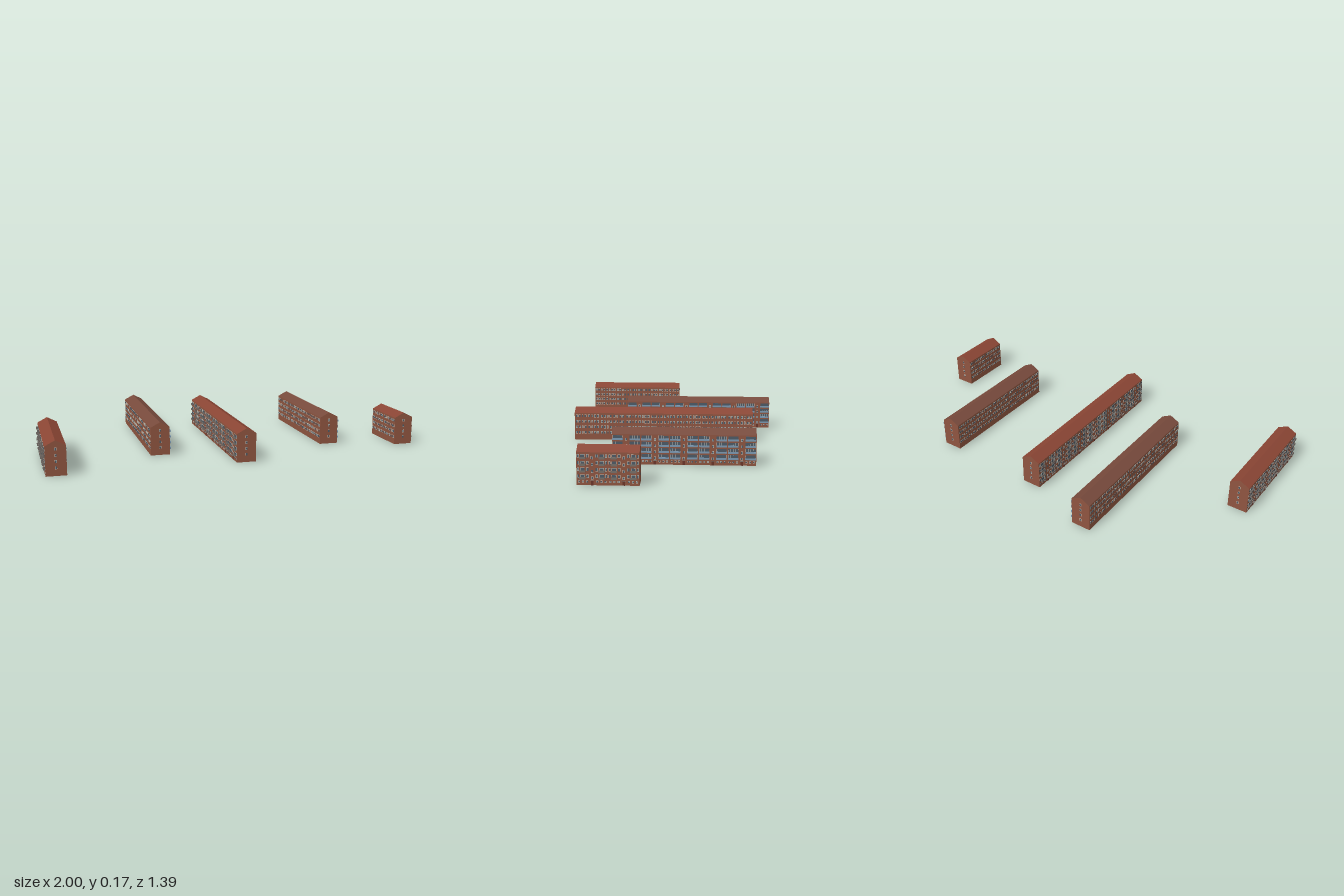
import * as THREE from 'three';
import { mergeGeometries } from 'three/addons/utils/BufferGeometryUtils.js';

const BAY = 0.137;          // length of one stairwell section
const HALF = 0.05;          // half width of a block
const EAVE = 0.146, RIDGE = 0.172;
const TILT = 0.316;         // all blocks lie parallel, turned from the z axis
const FLOORS = [0.04, 0.07, 0.1, 0.13]; // window centre heights

const material = (color, side = THREE.FrontSide) =>
  new THREE.MeshStandardMaterial({ color, side, flatShading: true });
const MAT = {
  brick: material(0x8f5540, THREE.DoubleSide),
  redRoof: material(0x8a4534, THREE.DoubleSide),
  brownRoof: material(0x774a3c, THREE.DoubleSide),
  frame: material(0xc9c4b8),
  glass: material(0x4c5a66),
  blue: material(0x7d9bb5),
  concrete: material(0x77706a),
  door: material(0x6b3428),
};

function box(sx, sy, sz, x, y, z) {
  return new THREE.BoxGeometry(sx, sy, sz).translate(x, y, z);
}

// Rectangle standing along the block: from (x0,y0) to (x1,y1), length long
function strip(x0, y0, x1, y1, length) {
  const w = Math.hypot(x1 - x0, y1 - y0);
  return new THREE.PlaneGeometry(length, w)
    .rotateY(Math.PI / 2)
    .rotateZ(Math.atan2(-(x1 - x0), y1 - y0))
    .translate((x0 + x1) / 2, (y0 + y1) / 2, 0);
}

function gable(z, faceBack) {
  const s = new THREE.Shape();
  s.moveTo(-HALF, 0);
  s.lineTo(HALF, 0);
  s.lineTo(HALF, EAVE);
  s.lineTo(0, RIDGE);
  s.lineTo(-HALF, EAVE);
  const g = new THREE.ShapeGeometry(s);
  if (faceBack) g.rotateY(Math.PI);
  return g.translate(0, 0, z);
}

// Window on a long wall; side is +1 or -1
function sideWindow(parts, side, y, z, w, h) {
  parts.frame.push(box(0.0016, h, w, side * HALF, y, z));
  parts.glass.push(box(0.0024, h - 0.003, w - 0.003, side * HALF, y, z));
}

function balcony(parts, y, z, length, depth, panel) {
  const x = HALF + depth / 2, floor = y - 0.0115;
  parts.concrete.push(box(depth, 0.002, length, x, floor, z));
  parts[panel].push(box(0.001, 0.009, length, HALF + depth, floor + 0.0045, z));
  for (const e of [-1, 1])
    parts[panel].push(box(depth, 0.009, 0.001, x, floor + 0.0045, z + e * length / 2));
}

// One stairwell section: plain windows on -x, entrance and balconies on +x
function addBay(parts, z, glazed) {
  for (const y of FLOORS) {
    for (const m of [-1, 1]) {
      for (const o of [0.01, 0.026, 0.042, 0.057])
        sideWindow(parts, -1, y, z + m * o, o === 0.026 ? 0.007 : 0.011, 0.014);
      if (glazed) {
        parts.glass.push(box(0.002, 0.021, 0.048, HALF, y, z + m * 0.041));
        for (let i = 0; i < 5; i++)
          parts.frame.push(box(0.003, 0.021, 0.001, HALF, y, z + m * (0.018 + i * 0.0115)));
        balcony(parts, y, z + m * 0.041, 0.049, 0.006, 'blue');
      } else {
        sideWindow(parts, 1, y, z + m * 0.02, 0.011, 0.015);
        sideWindow(parts, 1, y - 0.002, z + m * 0.042, 0.02, 0.019);
        sideWindow(parts, 1, y, z + m * 0.061, 0.009, 0.015);
        balcony(parts, y, z + m * 0.042, 0.026, 0.009, 'concrete');
      }
    }
    sideWindow(parts, 1, y - 0.008, z, 0.01, 0.013);
  }
  // ground floor entrance, canopy and cellar windows
  parts.door.push(box(0.003, 0.019, 0.012, HALF, 0.0095, z));
  parts.concrete.push(box(0.008, 0.0015, 0.018, HALF + 0.004, 0.021, z));
  for (const m of [-1, 1])
    for (const o of [0.022, 0.04, 0.057]) sideWindow(parts, 1, 0.016, z + m * o, 0.009, 0.009);
}

function createBlock({ name, x, z, bays, glazed, turned }) {
  const block = new THREE.Group();
  const length = bays * BAY;
  const parts = { frame: [], glass: [], blue: [], concrete: [], door: [] };

  // open-bottomed shell with a cross wall between sections
  const walls = [strip(HALF, 0, HALF, EAVE, length), strip(-HALF, 0, -HALF, EAVE, length)];
  walls[1].translate(HALF, 0, 0).rotateY(Math.PI).translate(-HALF, 0, 0);
  for (let i = 0; i <= bays; i++) walls.push(gable(-length / 2 + i * BAY, i === 0));
  const right = strip(HALF, EAVE, 0, RIDGE, length);
  const roof = [right, right.clone().rotateY(Math.PI)];

  for (let i = 0; i < bays; i++) addBay(parts, (i - (bays - 1) / 2) * BAY, glazed);

  // one column of windows in each end wall
  for (const e of [-1, 1])
    for (const y of FLOORS) {
      parts.frame.push(box(0.01, 0.014, 0.0016, 0, y, e * length / 2));
      parts.glass.push(box(0.007, 0.011, 0.0024, 0, y, e * length / 2));
    }

  const add = (label, geometries, mat) => {
    if (!geometries.length) return;
    const mesh = new THREE.Mesh(mergeGeometries(geometries), mat);
    mesh.name = label;
    block.add(mesh);
  };
  add('walls', walls, MAT.brick);
  add('roof', roof, glazed ? MAT.brownRoof : MAT.redRoof);
  add('windowFrames', parts.frame, MAT.frame);
  add('windowPanes', parts.glass, MAT.glass);
  add('balconyGlass', parts.blue, MAT.blue);
  add('balconies', parts.concrete, MAT.concrete);
  add('doors', parts.door, MAT.door);

  block.name = name;
  block.position.set(x, 0, z);
  block.rotation.y = TILT + (turned ? Math.PI : 0);
  return block;
}

export function createModel() {
  const model = new THREE.Group();
  model.name = 'apartmentBlocks';
  const blocks = [
    { name: 'farRightBlock', x: -0.867, z: 0.42, bays: 4, glazed: false, turned: true },
    { name: 'rightBlock', x: -0.469, z: -0.125, bays: 6, glazed: true, turned: false },
    { name: 'middleBlock', x: -0.044, z: -0.066, bays: 7, glazed: false, turned: true },
    { name: 'leftBlock', x: 0.438, z: -0.349, bays: 5, glazed: true, turned: false },
    { name: 'farLeftBlock', x: 0.905, z: -0.164, bays: 2, glazed: false, turned: false },
  ];
  for (const b of blocks) model.add(createBlock(b));
  return model;
}
